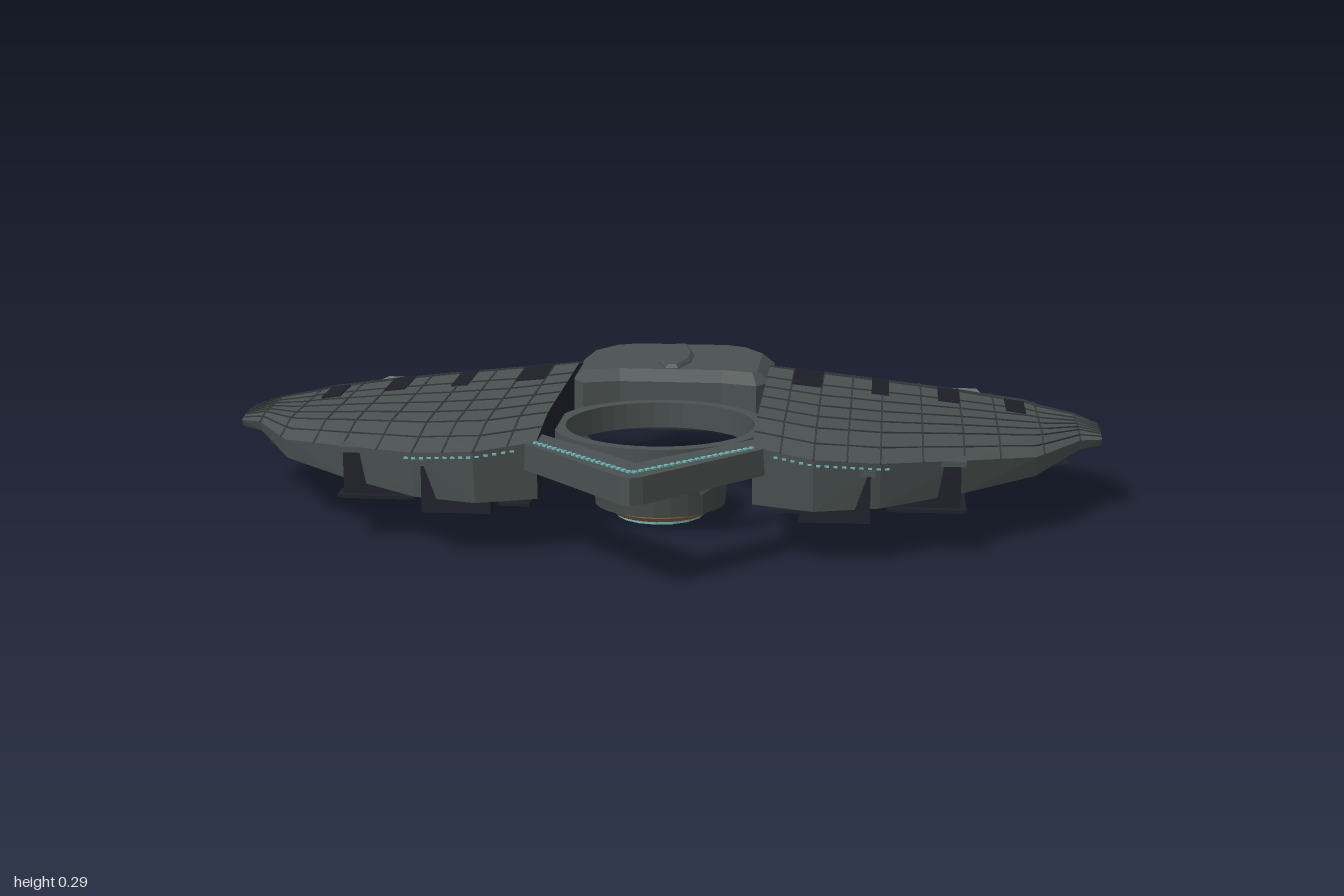
import * as THREE from 'three';

const mat = (name, color) => Object.assign(new THREE.MeshStandardMaterial({ color }), { name });
const V = (x, y, z) => new THREE.Vector3(x, y, z);

export function createModel() {
  const hull = mat('hull grey', 0x4a5150), dark = mat('dark navy', 0x20202b), line = mat('panel line', 0x343a39);
  const light = mat('light grey', 0x69736f), cyan = mat('cyan glow', 0x6cb8b8), copper = mat('copper', 0x8f6242);
  const dishGrey = mat('dish grey', 0x434846);
  const model = new THREE.Group();

  // Adds a faceted mesh
  function add(parent, name, geo, material, x = 0, y = 0, z = 0) {
    const g = geo.index ? geo.toNonIndexed() : geo;
    g.computeVertexNormals();
    const m = new THREE.Mesh(g, material);
    m.name = name;
    m.position.set(x, y, z);
    parent.add(m);
    return m;
  }
  const box = (p, name, m, w, h, d, x, y, z) => add(p, name, new THREE.BoxGeometry(w, h, d), m, x, y, z);
  // Bar running between two points
  function bar(p, name, m, a, b, w, h) {
    const o = box(p, name, m, w, h, a.distanceTo(b), 0, 0, 0);
    o.position.copy(a).lerp(b, 0.5);
    o.lookAt(b);
    return o;
  }
  // Plan outline given as x, z pairs, extruded upward from y
  function slab(p, name, m, pts, y, h, bevel = 0, inset = 0) {
    const s = new THREE.Shape(pts.map(([x, z]) => new THREE.Vector2(x, -z)));
    const g = new THREE.ExtrudeGeometry(s, {
      depth: h - 2 * bevel, bevelEnabled: bevel > 0, bevelThickness: bevel,
      bevelSize: inset, bevelOffset: -inset, bevelSegments: 1,
    });
    g.rotateX(-Math.PI / 2);
    return add(p, name, g, m, 0, y + bevel, 0);
  }
  const mirrorX = half => [...half, ...half.slice().reverse().filter(q => q[0] !== 0).map(([x, z]) => [-x, z])];

  // Wing stations: x, front z, back z, crest y, front edge y, back edge y, bottom y
  const stations = [
    [0.23, 0.36, -0.5, 0.274, 0.25, 0.24, 0.122],
    [0.36, 0.4, -0.5, 0.26, 0.235, 0.23, 0.12],
    [0.5, 0.36, -0.485, 0.246, 0.22, 0.218, 0.12],
    [0.68, 0.235, -0.455, 0.225, 0.2, 0.205, 0.125],
    [0.84, 0.11, -0.42, 0.203, 0.18, 0.19, 0.135],
    [0.87, 0.06, -0.385, 0.198, 0.178, 0.187, 0.14],
    [0.95, -0.08, -0.33, 0.186, 0.174, 0.178, 0.15],
    [1.0, -0.1, -0.25, 0.178, 0.172, 0.172, 0.156],
  ];
  const section = (s, [x, f, b, yc, yf, yb, y0]) => [
    V(s * x, y0, f - 0.01), V(s * x, yf, f), V(s * x, yc, f - 0.2 * (f - b)),
    V(s * x, yc, b + 0.18 * (f - b)), V(s * x, yb, b), V(s * x, y0, b + 0.04),
  ];
  function stationAt(x) {
    const i = Math.max(0, Math.min(stations.length - 2, stations.findIndex(q => q[0] >= x) - 1));
    const a = stations[i], b = stations[i + 1], t = (x - a[0]) / (b[0] - a[0]);
    return a.map((v, k) => v + (b[k] - v) * t);
  }
  // Point on the upper skin at span x and depth z
  function skin(s, x, z) {
    const p = section(s, stationAt(x)).slice(1, 5);
    let i = 0;
    while (i < 2 && z < p[i + 1].z) i++;
    const q = p[i].clone().lerp(p[i + 1], (p[i].z - z) / (p[i].z - p[i + 1].z));
    q.y += 0.0015;
    return q;
  }

  for (const s of [1, -1]) {
    const wing = new THREE.Group();
    wing.name = s > 0 ? 'leftWing' : 'rightWing';
    model.add(wing);
    // Lofted wing shell with dark rear and inner walls
    const shell = [], walls = [];
    const tri = (out, a, b, c) => (s > 0 ? [a, b, c] : [a, c, b]).forEach(v => out.push(v.x, v.y, v.z));
    const secs = stations.map(q => section(s, q)), n = 6;
    for (let i = 0; i < secs.length - 1; i++) for (let j = 0; j < n; j++) {
      const P = secs[i], Q = secs[i + 1], k = (j + 1) % n, out = j === 4 ? walls : shell;
      tri(out, P[j], Q[j], Q[k]);
      tri(out, P[j], Q[k], P[k]);
    }
    for (let j = 1; j < n - 1; j++) {
      tri(walls, secs[0][0], secs[0][j], secs[0][j + 1]);
      const e = secs[secs.length - 1];
      tri(shell, e[0], e[j + 1], e[j]);
    }
    for (const [name, list, m] of [['wingShell', shell, hull], ['wingWalls', walls, dark]]) {
      const g = new THREE.BufferGeometry();
      g.setAttribute('position', new THREE.Float32BufferAttribute(list, 3));
      add(wing, name, g, m);
    }
    // Panel seams across and along the wing
    for (const x of [0.29, 0.36, 0.43, 0.5, 0.59, 0.68, 0.76, 0.86, 0.95]) {
      const p = section(s, stationAt(x));
      for (let j = 1; j < 4; j++) bar(wing, 'panelSeam', line, p[j], p[j + 1], 0.004, 0.004);
    }
    for (const t of [0.1, 0.2, 0.32, 0.44, 0.56, 0.68, 0.82, 0.91])
      for (let i = 0; i < stations.length - 1; i++) {
        const at = q => skin(s, q[0], q[1] + (q[2] - q[1]) * t);
        bar(wing, 'panelSeam', line, at(stations[i]), at(stations[i + 1]), 0.003, 0.003);
      }
    // Slatted vents
    for (const [x, w, z0, z1] of [[0.325, 0.07, -0.36, -0.18], [0.495, 0.04, -0.36, -0.18],
      [0.655, 0.05, -0.35, -0.2], [0.81, 0.045, -0.32, -0.2]])
      for (let i = 0; i < 10; i++) {
        const z = z0 + (z1 - z0) * (i + 0.5) / 10;
        bar(wing, 'ventSlat', dark, skin(s, x - w / 2, z), skin(s, x + w / 2, z), 0.008, 0.006);
      }
    // Leading edge lights
    for (let i = 0; i < 14; i++) {
      const q = section(s, stationAt(0.28 + i * 0.018))[1];
      box(wing, 'edgeLight', cyan, 0.009, 0.004, 0.006, q.x, q.y - 0.012, q.z);
    }
    // Intakes slung below the leading edge
    for (const [x, w, z0, z1] of [[0.405, 0.15, 0.2, 0.365], [0.6, 0.145, 0.08, 0.265]]) {
      box(wing, 'intakeHousing', dark, w, 0.105, z1 - z0, s * x, 0.142, (z0 + z1) / 2);
      box(wing, 'intakeFrame', hull, w + 0.02, 0.012, 0.05, s * x, 0.2, z1 - 0.02);
    }
    box(wing, 'intakePlate', dark, 0.22, 0.006, 0.16, s * 0.37, 0.088, 0.2);
    box(wing, 'intakePlate', dark, 0.17, 0.006, 0.16, s * 0.6, 0.098, 0.2);
    bar(wing, 'underFin', dark, V(s * 0.62, 0.1, -0.06), V(s * 0.92, 0.126, -0.1), 0.1, 0.005);
    // Underside blocks and antenna
    for (const x of [0.31, 0.45, 0.59, 0.73]) {
      box(wing, 'undersideBlock', light, 0.035, 0.045, 0.13, s * x, 0.109, -0.2);
      box(wing, 'undersideTrim', copper, 0.037, 0.008, 0.132, s * x, 0.1, -0.2);
    }
    box(wing, 'antenna', dark, 0.006, 0.05, 0.006, s * 0.5, 0.1, -0.3);
    // Rear nozzles
    for (const [x, zb, y] of [[0.085, -0.64, 0.19], [0.33, -0.54, 0.185], [0.51, -0.52, 0.18], [0.69, -0.48, 0.175]]) {
      const g = new THREE.BoxGeometry(0.1, 0.062, 0.09), p = g.attributes.position;
      for (let i = 0; i < p.count; i++)
        if (p.getZ(i) < 0) p.setXY(i, p.getX(i) * 0.75, p.getY(i) * 0.85);
      add(wing, 'nozzle', g, light, s * x, y, zb + 0.045);
      box(wing, 'nozzleGrille', dark, 0.05, 0.03, 0.004, s * x, y, zb);
    }
    // Struts holding the dish
    for (const z of [-0.11, 0.11])
      bar(model, 'dishStrut', dishGrey, V(s * 0.1, 0.08, z), V(s * 0.235, 0.18, z), 0.012, 0.012);
    // Lights along the bow
    for (let i = 0; i < 20; i++) {
      const t = (i + 0.5) / 20;
      const o = box(model, 'bowLight', cyan, 0.009, 0.004, 0.009, s * 0.235 * (1 - t), 0.251, 0.365 + 0.235 * t);
      o.rotation.y = Math.PI / 4;
    }
  }

  // Bow chevron
  slab(model, 'bowChevron', hull, [[-0.23, 0.28], [-0.26, 0.36], [-0.025, 0.62], [0, 0.635], [0.025, 0.62],
    [0.26, 0.36], [0.23, 0.28], [0, 0.51]], 0.19, 0.058);

  // Rear command pod with its raised spine
  slab(model, 'rearPod', hull, mirrorX([[0.12, -0.245], [0.205, -0.22], [0.235, -0.26], [0.235, -0.49],
    [0.18, -0.575], [0.12, -0.605]]), 0.13, 0.148, 0.025, 0.03);
  slab(model, 'podSpine', hull, mirrorX([[0.015, -0.28], [0.04, -0.36], [0.04, -0.44], [0.018, -0.54]]),
    0.26, 0.028, 0.008, 0.008);

  // Central ring
  const lathe = (name, m, pts, seg) =>
    add(model, name, new THREE.LatheGeometry(pts.map(([r, y]) => new THREE.Vector2(r, y)), seg), m);
  lathe('centralRing', hull, [[0.215, 0.15], [0.245, 0.15], [0.245, 0.21], [0.215, 0.21], [0.215, 0.15]], 40);

  // Dish with copper collar and glowing lens
  lathe('dishBody', dishGrey, [[0.1, 0.03], [0.15, 0.03], [0.15, 0.096], [0.1, 0.096], [0.1, 0.03]], 24);
  lathe('dishCollar', copper, [[0.1, 0.008], [0.108, 0.008], [0.117, 0.018], [0.117, 0.03], [0.1, 0.03]], 24);
  add(model, 'dishLens', new THREE.CylinderGeometry(0.103, 0.1, 0.09, 16), cyan, 0, 0.045, 0);
  return model;
}
